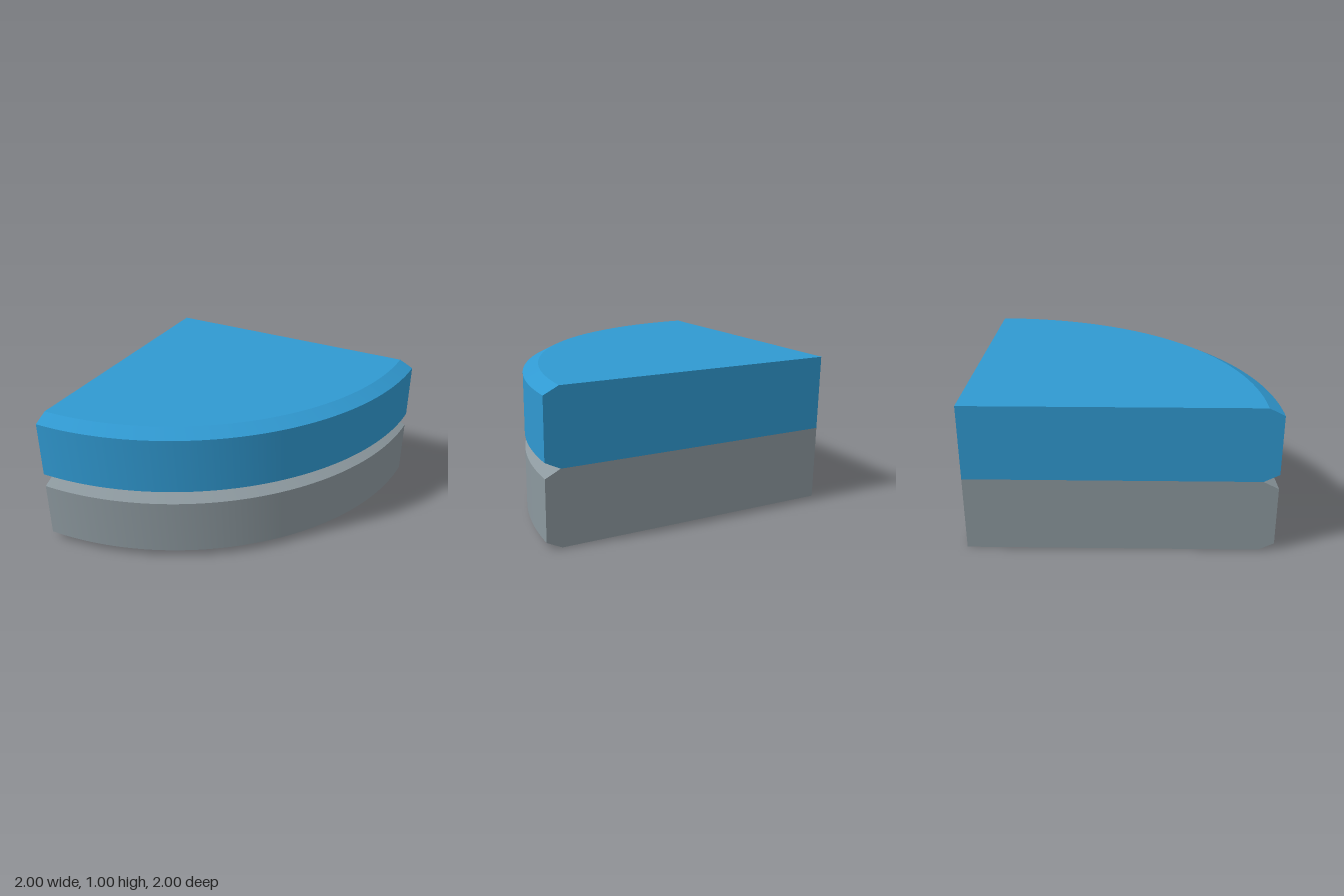
import * as THREE from 'three';
import { toCreasedNormals } from 'three/addons/utils/BufferGeometryUtils.js';

const RADIUS = 2, HEIGHT = 0.5, BEVEL_IN = 0.1, BEVEL_UP = 0.05;

// Half cross-section of a disc with bevelled rims, from the bottom axis to the top axis
const profile = [
  [0, 0], [RADIUS - BEVEL_IN, 0], [RADIUS, BEVEL_UP],
  [RADIUS, HEIGHT - BEVEL_UP], [RADIUS - BEVEL_IN, HEIGHT], [0, HEIGHT],
];
const points = (side = 1) => profile.map(([x, y]) => new THREE.Vector2(side * x, y));

function addMesh(group, name, geometry, material) {
  const mesh = new THREE.Mesh(geometry, material);
  mesh.name = name;
  group.add(mesh);
}

// Quarter disc whose corner sits at the back right of the model
function quarterDisc(name, y, material) {
  const disc = new THREE.Group();
  disc.name = name;
  disc.position.set(-1, y, -1);

  // Curved rim, bevels, top and bottom
  const lathe = new THREE.LatheGeometry(points(), 64, 0, Math.PI / 2);
  addMesh(disc, name + 'Body', toCreasedNormals(lathe, 0.3), material);

  // Flat cut walls
  const sideWall = new THREE.ShapeGeometry(new THREE.Shape(points())).rotateY(-Math.PI / 2);
  addMesh(disc, name + 'SideWall', sideWall, material);
  const backWall = new THREE.ShapeGeometry(new THREE.Shape(points(-1))).rotateY(Math.PI);
  addMesh(disc, name + 'BackWall', backWall, material);
  return disc;
}

export function createModel() {
  const blue = new THREE.MeshStandardMaterial({ color: 0x3099d1 });
  blue.name = 'blue';
  const grey = new THREE.MeshStandardMaterial({ color: 0x8c989e });
  grey.name = 'grey';

  const model = new THREE.Group();
  model.name = 'stackedQuarterDiscs';
  model.add(quarterDisc('lowerDisc', 0, grey), quarterDisc('upperDisc', HEIGHT, blue));
  return model;
}
